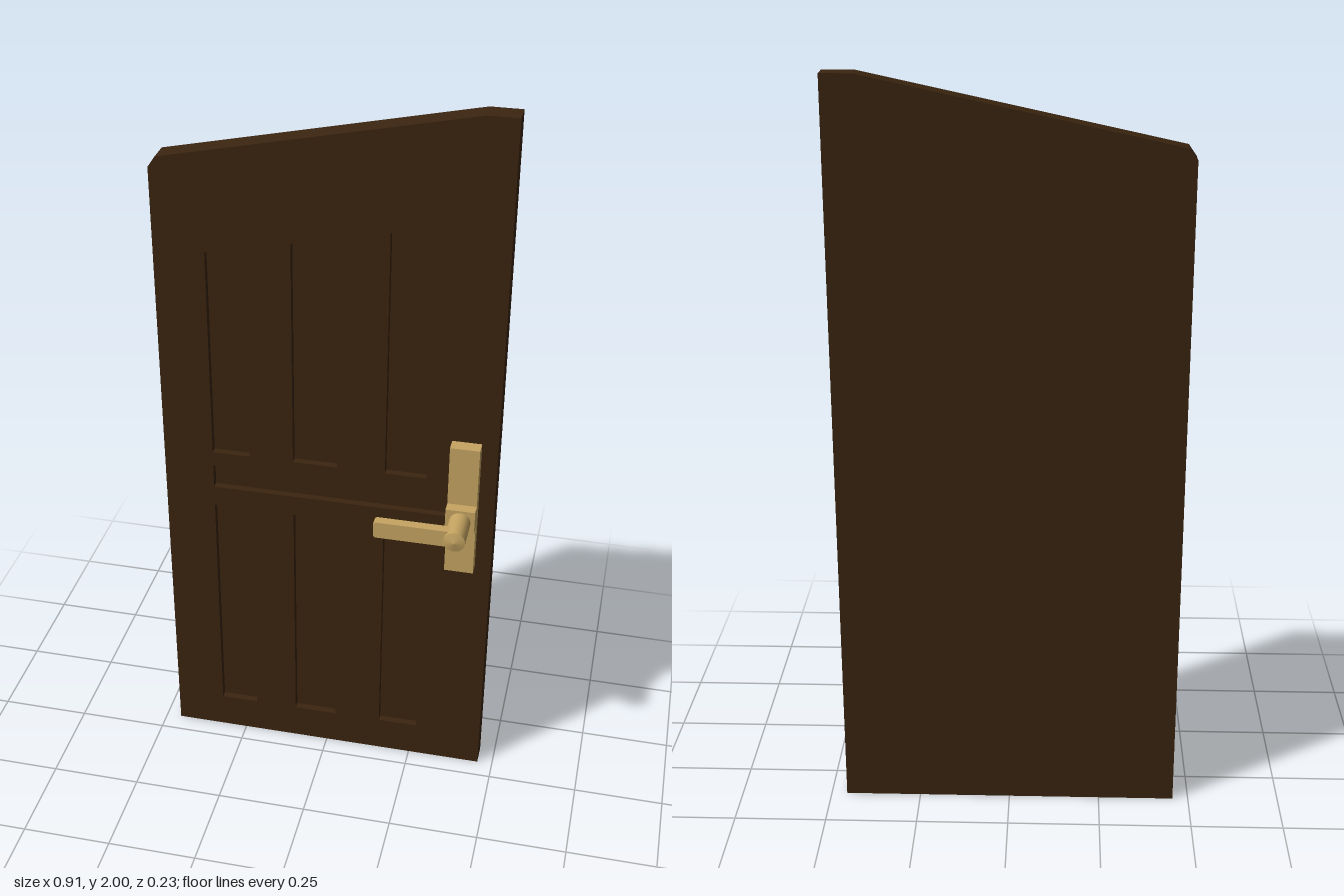
import * as THREE from 'three';

const wood = new THREE.MeshStandardMaterial({ color: 0x3a2510 });
wood.name = 'dark wood';
const brass = new THREE.MeshStandardMaterial({ color: 0xc6a562 });
brass.name = 'brass';

const BACK = -0.115, FRONT = -0.055, RECESS = 0.02;

const points = (list) => list.map(([x, y]) => new THREE.Vector2(x, y));

function addMesh(parent, name, geometry, material, x = 0, y = 0, z = 0) {
  const mesh = new THREE.Mesh(geometry, material);
  mesh.name = name;
  mesh.position.set(x, y, z);
  parent.add(mesh);
  return mesh;
}

// Door outline with a sloping top and clipped corner
function doorShape() {
  return new THREE.Shape(points([
    [-0.457, 0], [0.457, 0], [0.457, 2], [0.375, 2], [-0.437, 1.825], [-0.457, 1.796],
  ]));
}

function panelHole(x0, x1, y0, topLeft, topRight) {
  return new THREE.Path(points([[x0, y0], [x0, topLeft], [x1, topRight], [x1, y0]]));
}

const extrude = (shape, depth) =>
  new THREE.ExtrudeGeometry(shape, { depth, bevelEnabled: false });

function createDoor() {
  const door = new THREE.Group();
  door.name = 'door';
  addMesh(door, 'doorBack', extrude(doorShape(), FRONT - RECESS - BACK), wood, 0, 0, BACK);

  // Front layer, pierced to leave the sunken panels
  const face = doorShape();
  const columns = [[-0.32, -0.215, 1.577, 1.6], [-0.095, 0.027, 1.626, 1.652], [0.158, 0.27, 1.68, 1.703]];
  for (const [x0, x1, topLeft, topRight] of columns) {
    face.holes.push(panelHole(x0, x1, 0.978, topLeft, topRight));
    face.holes.push(panelHole(x0, x1, 0.105, 0.805, 0.805));
  }
  face.holes.push(panelHole(-0.32, 0.335, 0.865, 0.935, 0.935));
  addMesh(door, 'doorFace', extrude(face, RECESS), wood, 0, 0, FRONT - RECESS);
  return door;
}

function createHandle() {
  const handle = new THREE.Group();
  handle.name = 'handle';
  const x = 0.374, y = 0.898;

  // Mounting plate reaches into the middle groove
  addMesh(handle, 'handlePlate', new THREE.BoxGeometry(0.079, 0.392, 0.057), brass, x, 0.91, -0.0465);
  addMesh(handle, 'handleCollar', new THREE.BoxGeometry(0.079, 0.07, 0.03), brass, x, y, -0.003);

  // Round stem with a shallow pointed cap
  const side = new THREE.CylinderGeometry(0.029, 0.029, 0.096, 20, 1, true);
  addMesh(handle, 'handleStem', side, brass, x, y, 0.058).rotation.x = Math.PI / 2;
  const cap = new THREE.ConeGeometry(0.029, 0.007, 20, 1, true);
  addMesh(handle, 'stemCap', cap, brass, x, y, 0.1095).rotation.x = Math.PI / 2;

  // Lever with slightly clipped end corners
  const lever = new THREE.Shape(points([
    [0.157, 0.879], [0.162, 0.874], [0.365, 0.874], [0.365, 0.922], [0.162, 0.922], [0.157, 0.917],
  ]));
  addMesh(handle, 'lever', extrude(lever, 0.026), brass, 0, 0, 0.07);
  return handle;
}

export function createModel() {
  const model = new THREE.Group();
  model.name = 'panelledDoor';
  model.add(createDoor(), createHandle());
  return model;
}
